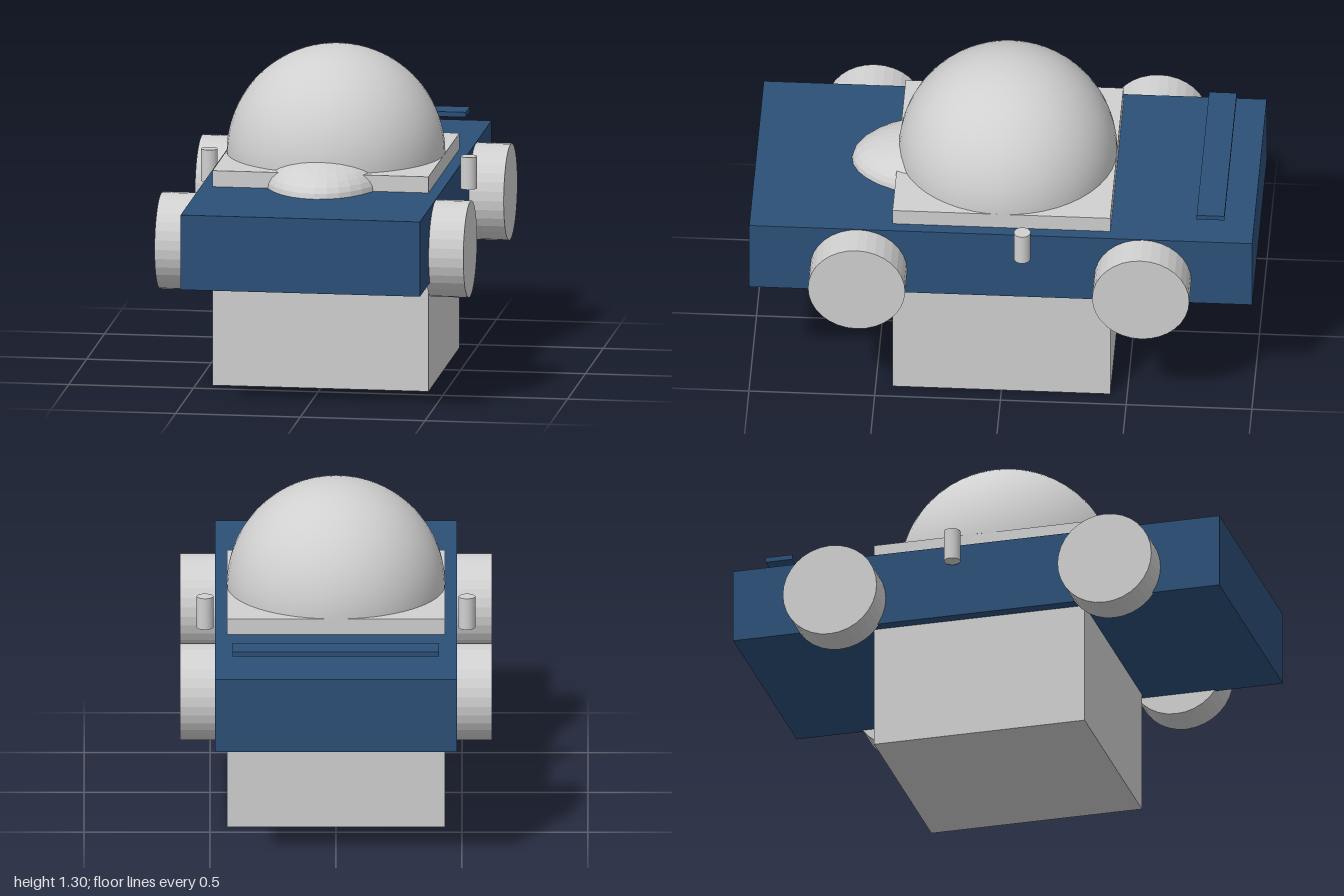
import * as THREE from 'three';

const grey = new THREE.MeshStandardMaterial({ color: 0xd0d0d0 });
grey.name = 'light grey';
const blue = new THREE.MeshStandardMaterial({ color: 0x2c5078 });
blue.name = 'navy blue';

// Gives a geometry faceted normals
function faceted(geometry) {
  const g = geometry.toNonIndexed();
  g.computeVertexNormals();
  return g;
}

export function createModel() {
  const model = new THREE.Group();
  model.name = 'domedCar';

  function add(name, geometry, material, x, y, z) {
    const mesh = new THREE.Mesh(geometry, material);
    mesh.name = name;
    mesh.position.set(x, y, z);
    model.add(mesh);
    return mesh;
  }

  // Long flat body with the cabin block passing through it
  add('body', new THREE.BoxGeometry(0.96, 0.303, 2), blue, 0, 0.6535, 0);
  add('cabinBlock', new THREE.BoxGeometry(0.866, 0.87, 0.866), grey, 0, 0.435, 0);

  // Dome roof
  const dome = new THREE.SphereGeometry(0.434, 48, 24, 0, Math.PI * 2, 0, Math.PI / 2);
  add('dome', dome, grey, 0, 0.87, 0);

  // Flattened scoop emerging in front of the dome
  const scoop = new THREE.SphereGeometry(1, 32, 20);
  scoop.scale(0.25, 0.13, 0.4);
  add('hoodScoop', faceted(scoop), grey, 0, 0.805, 0.22);

  // Floating rear spoiler
  add('spoiler', new THREE.BoxGeometry(0.82, 0.02, 0.11), blue, 0, 0.873, -0.83);

  // Wheels and side pegs, mirrored
  const wheel = new THREE.CylinderGeometry(0.193, 0.193, 0.152, 32);
  wheel.rotateZ(Math.PI / 2);
  const wheelGeometry = faceted(wheel);
  const pegGeometry = new THREE.CylinderGeometry(0.033, 0.033, 0.13, 24);
  for (const side of [1, -1]) {
    const label = side > 0 ? 'left' : 'right';
    add(label + 'FrontWheel', wheelGeometry, grey, side * 0.543, 0.61, 0.565);
    add(label + 'RearWheel', wheelGeometry, grey, side * 0.543, 0.61, -0.565);
    add(label + 'Mirror', pegGeometry, grey, side * 0.52, 0.785, -0.088);
  }

  return model;
}
